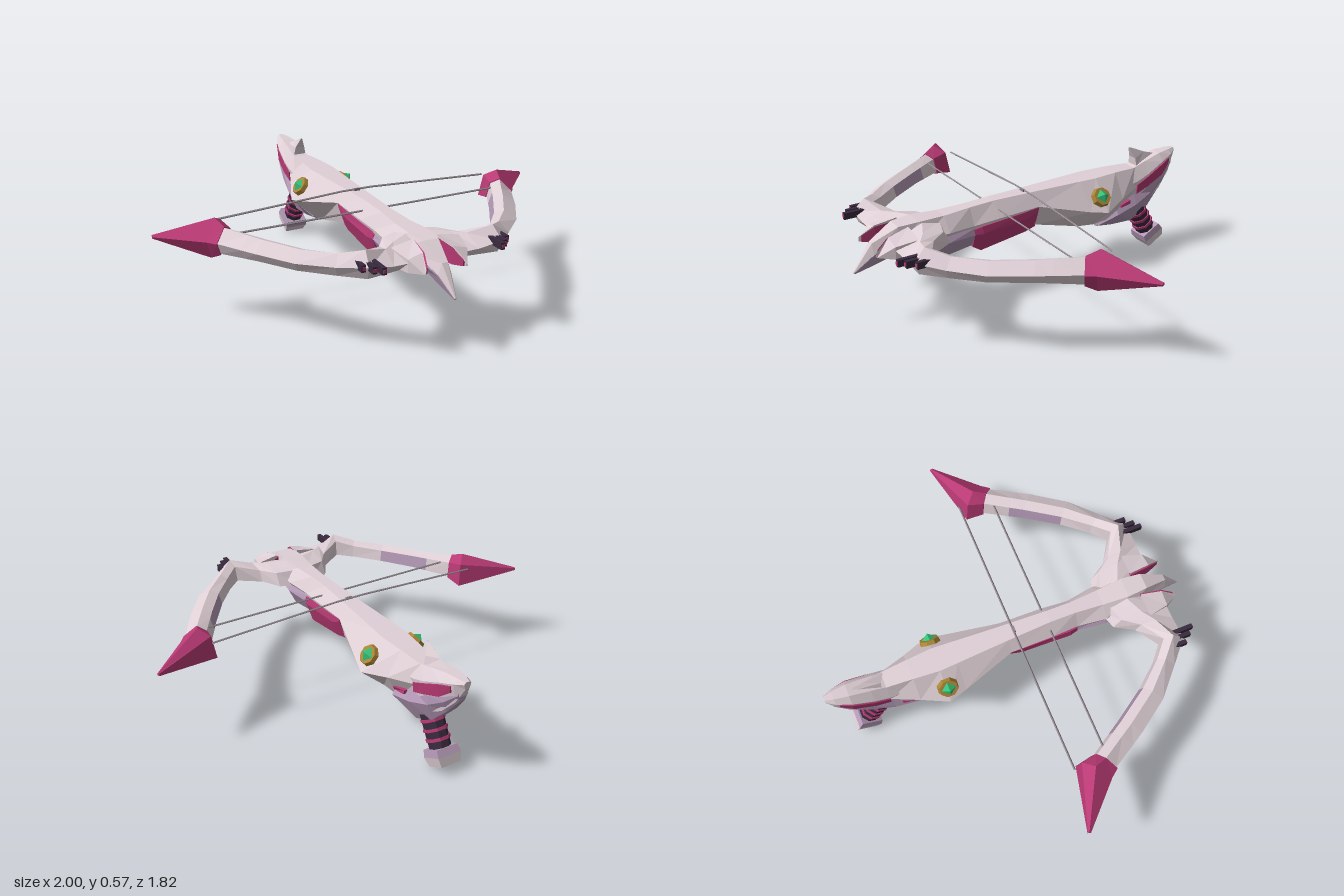
import * as THREE from 'three';

const mat = (name, color) => Object.assign(new THREE.MeshStandardMaterial({ color }), { name });
const M = {
  shell: mat('pale shell', 0xdfd0d6), mauve: mat('mauve', 0xb398b5), magenta: mat('magenta', 0xb83a74),
  dark: mat('dark grip', 0x382a3e), gold: mat('gold', 0xa88436), green: mat('green gem', 0x35c27a),
  cord: mat('grey cord', 0x8f868c),
};

export function createModel() {
  const model = new THREE.Group();

  const add = (name, geo, material, parent = model) => {
    const flat = geo.index ? geo.toNonIndexed() : geo;
    flat.computeVertexNormals();
    const mesh = new THREE.Mesh(flat, material);
    mesh.name = name;
    parent.add(mesh);
  };

  // Faceted skin over rings of points, capped and turned outward by signed volume
  const loft = (rings) => {
    const n = rings[0].length, tris = [];
    for (let i = 0; i + 1 < rings.length; i++) for (let j = 0; j < n; j++) {
      const k = (j + 1) % n, a = rings[i], b = rings[i + 1];
      tris.push([a[j], a[k], b[k]], [a[j], b[k], b[j]]);
    }
    const first = rings[0], last = rings[rings.length - 1];
    for (let j = 1; j + 1 < n; j++) tris.push([first[0], first[j + 1], first[j]], [last[0], last[j], last[j + 1]]);
    const o = new THREE.Vector3(...first[0]);
    const v = (p) => new THREE.Vector3(...p).sub(o);
    const volume = tris.reduce((s, [a, b, c]) => s + v(a).dot(v(b).cross(v(c))), 0);
    if (volume < 0) tris.forEach((t) => t.reverse());
    const g = new THREE.BufferGeometry();
    g.setAttribute('position', new THREE.Float32BufferAttribute(tris.flat(2), 3));
    return g;
  };

  // Six-sided symmetric station: z, top half width and y, side half width and y, bottom half width and y
  const hex = ([z, tw, yt, w, ym, bw, yb]) =>
    [[tw, yt, z], [w, ym, z], [bw, yb, z], [-bw, yb, z], [-w, ym, z], [-tw, yt, z]];
  const hull = (name, stations, material) => add(name, loft(stations.map(hex)), material);

  // Stock running from the rear head to the front beak
  hull('stock', [
    [-0.75, 0.03, 0.45, 0.055, 0.37, 0.03, 0.28], [-0.63, 0.04, 0.475, 0.068, 0.38, 0.04, 0.26],
    [-0.5, 0.05, 0.48, 0.12, 0.36, 0.05, 0.235], [-0.37, 0.06, 0.48, 0.175, 0.335, 0.05, 0.225],
    [-0.28, 0.055, 0.48, 0.15, 0.35, 0.045, 0.235], [-0.02, 0.04, 0.48, 0.08, 0.415, 0.05, 0.31],
    [0.2, 0.03, 0.48, 0.078, 0.405, 0.05, 0.31], [0.33, 0.03, 0.475, 0.07, 0.395, 0.05, 0.31],
    [0.47, 0.04, 0.47, 0.09, 0.4, 0.05, 0.34], [0.6, 0.05, 0.475, 0.08, 0.4, 0.04, 0.355],
    [0.7, 0.04, 0.47, 0.055, 0.4, 0.02, 0.34], [0.82, 0.015, 0.41, 0.032, 0.36, 0.01, 0.305],
    [0.91, 0.002, 0.285, 0.004, 0.282, 0.002, 0.278],
  ], M.shell);
  hull('magenta fore-end', [
    [-0.02, 0.079, 0.412, 0.08, 0.4, 0.045, 0.3], [0.04, 0.08, 0.405, 0.083, 0.37, 0.055, 0.29],
    [0.29, 0.078, 0.385, 0.085, 0.35, 0.055, 0.255], [0.33, 0.07, 0.375, 0.075, 0.35, 0.05, 0.28],
  ], M.magenta);
  hull('keel and beak underside', [
    [0.3, 0.06, 0.385, 0.072, 0.35, 0.04, 0.29], [0.47, 0.075, 0.385, 0.095, 0.355, 0.055, 0.275],
    [0.56, 0.07, 0.385, 0.085, 0.365, 0.045, 0.32], [0.7, 0.05, 0.396, 0.054, 0.385, 0.023, 0.335],
    [0.82, 0.032, 0.358, 0.031, 0.35, 0.013, 0.3], [0.905, 0.004, 0.285, 0.005, 0.282, 0.003, 0.276],
  ], M.mauve);

  // Rear head with its crest
  hull('rear head', [
    [-0.58, 0.04, 0.46, 0.07, 0.4, 0.05, 0.29], [-0.63, 0.038, 0.475, 0.072, 0.41, 0.052, 0.28],
    [-0.7, 0.035, 0.495, 0.07, 0.435, 0.055, 0.27], [-0.8, 0.03, 0.52, 0.06, 0.48, 0.04, 0.33],
    [-0.87, 0.02, 0.525, 0.04, 0.503, 0.025, 0.41], [-0.91, 0.01, 0.525, 0.018, 0.515, 0.01, 0.49],
  ], M.shell);
  add('crest', loft([
    [[0.035, 0.47, -0.65], [0, 0.5, -0.83], [-0.035, 0.47, -0.65]],
    [[0.025, 0.52, -0.645], [0, 0.535, -0.72], [-0.025, 0.52, -0.645]],
    [[0.003, 0.575, -0.62], [0, 0.575, -0.63], [-0.003, 0.575, -0.62]],
  ]), M.shell);

  // Painted bands that stand just proud of both flanks: z, lower x y, upper x y
  const band = ([z, x0, y0, x1, y1]) => [[x0, y0, z], [x1, y1, z], [-x1, y1, z], [-x0, y0, z]];
  add('head stripe', loft([
    [-0.63, 0.07, 0.342, 0.075, 0.392], [-0.7, 0.072, 0.37, 0.075, 0.425],
    [-0.8, 0.061, 0.41, 0.066, 0.472], [-0.855, 0.044, 0.455, 0.048, 0.488],
  ].map(band)), M.magenta);
  add('flank stripe', loft([[-0.515, 0.09, 0.297, 0.099, 0.315], [-0.58, 0.086, 0.305, 0.082, 0.322]].map(band)), M.magenta);

  // Lower guard under the head
  hull('lower guard', [
    [-0.42, 0.02, 0.215, 0.03, 0.2, 0.01, 0.188], [-0.5, 0.06, 0.31, 0.09, 0.26, 0.035, 0.188],
    [-0.62, 0.06, 0.34, 0.085, 0.29, 0.04, 0.185], [-0.73, 0.064, 0.375, 0.067, 0.33, 0.035, 0.24],
    [-0.82, 0.046, 0.415, 0.05, 0.39, 0.025, 0.335], [-0.885, 0.022, 0.465, 0.026, 0.45, 0.012, 0.42],
  ], M.mauve);

  // Raked handle with rings and a two-tone square pommel
  const handle = new THREE.Group();
  handle.name = 'handle';
  handle.position.set(0, 0.255, -0.665);
  handle.rotation.x = 0.52;
  model.add(handle);
  const turned = (name, top, bottom, h, y, sides, material) =>
    add(name, new THREE.CylinderGeometry(top, bottom, h, sides).rotateY(Math.PI / sides).translate(0, y, 0), material, handle);
  turned('grip', 0.054, 0.05, 0.21, -0.085, 8, M.dark);
  for (const y of [-0.05, -0.095, -0.14]) turned('grip ring', 0.057, 0.057, 0.014, y, 8, M.magenta);
  turned('pommel neck', 0.078, 0.086, 0.035, -0.1975, 4, M.mauve);
  turned('pommel', 0.086, 0.072, 0.045, -0.2375, 4, M.shell);

  // Bow arm stations: inner x z, outer x z, top y, bottom y
  const arm = [
    [0.03, 0.46, 0.04, 0.7, 0.47, 0.36], [0.135, 0.49, 0.14, 0.765, 0.46, 0.365],
    [0.19, 0.58, 0.21, 0.765, 0.455, 0.37], [0.3, 0.65, 0.325, 0.765, 0.485, 0.37],
    [0.37, 0.59, 0.43, 0.67, 0.458, 0.37], [0.47, 0.47, 0.56, 0.55, 0.452, 0.37],
    [0.575, 0.31, 0.67, 0.39, 0.458, 0.372], [0.613, 0.247, 0.707, 0.327, 0.462, 0.368],
    [0.685, 0.13, 0.775, 0.21, 0.47, 0.36],
  ];
  // Face colour by segment: underside (side 3) and inner face (side 4)
  const under = ['mauve', 'mauve', 'mauve', 'shell', 'mauve', 'shell', 'shell', 'magenta'];
  const inner = ['shell', 'shell', 'shell', 'shell', 'shell', 'mauve', 'mauve', 'shell'];
  const armPaint = [M.shell, M.mauve, M.magenta];
  const paintArm = (geo) => {
    for (let i = 0; i < under.length; i++) for (let j = 0; j < 5; j++) {
      const colour = j === 3 ? under[i] : j === 4 ? inner[i] : 'shell';
      geo.addGroup((i * 5 + j) * 6, 6, armPaint.indexOf(M[colour]));
    }
    geo.addGroup(under.length * 30, 18, 0);
    return geo;
  };

  for (const s of [1, -1]) {
    const side = s > 0 ? 'left' : 'right';
    const ring = ([ix, iz, ox, oz, yt, yb]) => {
      const h = yt - yb;
      return [[s * (ix * 0.87 + ox * 0.13), yt - h * 0.2, iz * 0.87 + oz * 0.13], [s * (ix + ox) / 2, yt, (iz + oz) / 2],
        [s * ox, yb + h * 0.5, oz], [s * (ox * 0.8 + ix * 0.2), yb, oz * 0.8 + iz * 0.2], [s * ix, yb + h * 0.15, iz]];
    };
    add(side + ' bow arm', paintArm(loft(arm.map(ring))), armPaint);
    add(side + ' arm tip', loft([
      [0.675, 0.135, 0.78, 0.215, 0.475, 0.355], [0.688, 0.05, 0.81, 0.175, 0.5, 0.33],
      [0.995, -0.03, 1, -0.015, 0.415, 0.4],
    ].map(ring)), M.magenta);

    // Forward claw with a magenta inner face
    const claw = ([x0, x1, z, y0, y1]) => [[s * x0, y0, z], [s * x0, y1, z], [s * x1, y1 - 0.02, z], [s * x1, y0, z]];
    add(side + ' claw', loft([
      [0.06, 0.17, 0.66, 0.37, 0.47], [0.075, 0.145, 0.765, 0.37, 0.45], [0.098, 0.103, 0.835, 0.38, 0.4],
    ].map(claw)), M.shell);
    add(side + ' claw lining', loft([
      [0.052, 0.09, 0.66, 0.37, 0.46], [0.067, 0.095, 0.765, 0.368, 0.447], [0.087, 0.098, 0.825, 0.378, 0.41],
    ].map(claw)), M.magenta);

    // Three pegs at the elbow
    for (const [x, z] of [[0.35, 0.765], [0.317, 0.8], [0.288, 0.825]]) {
      add(side + ' peg', new THREE.BoxGeometry(0.02, 0.032, 0.12).translate(s * x, 0.43, z - 0.06), M.dark);
      add(side + ' peg end', new THREE.BoxGeometry(0.015, 0.015, 0.004).translate(s * x, 0.43, z + 0.001), M.magenta);
    }

    // Jewel on the sloping flank
    const jewel = new THREE.Group();
    jewel.name = side + ' jewel';
    jewel.position.set(s * 0.122, 0.402, -0.36);
    jewel.rotation.z = -s * 0.9;
    model.add(jewel);
    add('gold setting', new THREE.CylinderGeometry(0.046, 0.057, 0.036, 8).rotateY(Math.PI / 8), M.gold, jewel);
    add('gem', new THREE.OctahedronGeometry(0.04).scale(0.9, 0.65, 0.9).translate(0, 0.018, 0), M.green, jewel);
  }

  // Two strings
  const cord = (name, pts) => {
    for (let i = 0; i + 1 < pts.length; i++) {
      const line = new THREE.LineCurve3(new THREE.Vector3(...pts[i]), new THREE.Vector3(...pts[i + 1]));
      add(name, new THREE.TubeGeometry(line, 1, 0.005, 4), M.cord);
    }
  };
  cord('rear string', [[-0.72, 0.455, 0.025], [-0.08, 0.486, 0.02], [0.08, 0.486, 0.02], [0.72, 0.455, 0.025]]);
  cord('front string', [[-0.67, 0.44, 0.19], [0.67, 0.44, 0.19]]);
  add('string stop', new THREE.BoxGeometry(0.03, 0.035, 0.008).translate(0, 0.475, 0.025), M.cord);

  return model;
}
